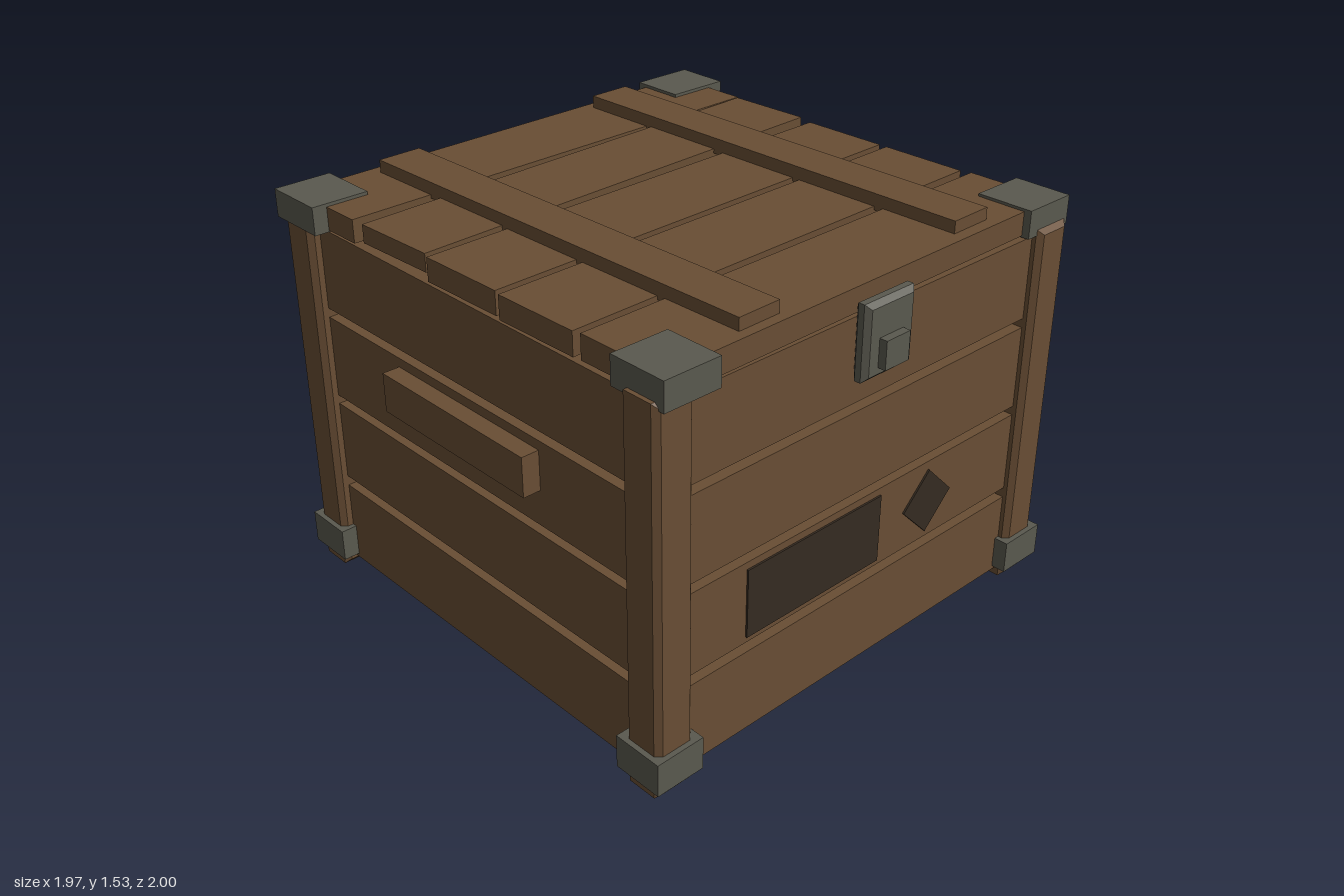
import * as THREE from 'three';

export function createModel() {
  const model = new THREE.Group();
  model.name = 'crate';
  const material = (name, color) => {
    const m = new THREE.MeshStandardMaterial({ color });
    m.name = name;
    return m;
  };
  const wood = material('wood', 0x694e34);
  const metal = material('metal', 0x5a594f);
  const dark = material('darkWood', 0x352b21);

  const add = (name, geometry, mat) => {
    const mesh = new THREE.Mesh(geometry, mat);
    mesh.name = name;
    model.add(mesh);
    return mesh;
  };
  // Box given by its limits on each axis
  const box = (name, mat, x0, x1, y0, y1, z0, z1) => {
    const mesh = add(name, new THREE.BoxGeometry(x1 - x0, y1 - y0, z1 - z0), mat);
    mesh.position.set((x0 + x1) / 2, (y0 + y1) / 2, (z0 + z1) / 2);
    return mesh;
  };
  // Box with chamfered edges, centred on its origin
  const chamferBox = (w, h, d, b) => {
    const x = w / 2 - b, y = h / 2 - b;
    const shape = new THREE.Shape([[-x, -y], [x, -y], [x, y], [-x, y]].map(p => new THREE.Vector2(...p)));
    const geometry = new THREE.ExtrudeGeometry(shape, {
      depth: d - 2 * b, bevelEnabled: true, bevelSegments: 1, bevelSize: b, bevelThickness: b,
    });
    return geometry.translate(0, 0, b - d / 2);
  };

  // Dark inner box, showing through the gaps
  const liner = box('innerBox', dark, -0.855, 0.855, 0.04, 1.385, -0.875, 0.84);
  liner.name = 'innerBox';

  // Four wall planks on each side
  for (const [y0, y1] of [[0.03, 0.345], [0.385, 0.695], [0.73, 1.045], [1.08, 1.39]]) {
    box('frontPlank', wood, -0.87, 0.87, y0, y1, 0.85, 0.905);
    box('backPlank', wood, -0.87, 0.87, y0, y1, -0.94, -0.885);
    for (const s of [-1, 1]) {
      const a = s * 0.865, b = s * 0.918;
      box('sidePlank', wood, Math.min(a, b), Math.max(a, b), y0, y1, -0.89, 0.855);
    }
  }

  // Corner posts with metal feet
  for (const x of [-0.883, 0.88]) {
    for (const z of [-0.898, 0.863]) {
      add('cornerPost', chamferBox(0.155, 1.42, 0.155, 0.02), wood).position.set(x, 0.71, z);
      box('bottomCornerCap', metal, x - 0.097, x + 0.097, 0.045, 0.17, z - 0.097, z + 0.097);
    }
  }

  // Lid planks, laid a little crooked: x0, x1, centre z, depth, bottom y, top y, yaw
  const lidPlanks = [
    [-0.925, 0.905, -0.775, 0.345, 1.402, 1.488, 0.012],
    [-0.92, 0.9, -0.397, 0.335, 1.425, 1.492, 0.04],
    [-0.917, 0.9, -0.02, 0.345, 1.402, 1.488, 0.02],
    [-0.92, 0.907, 0.352, 0.34, 1.402, 1.488, 0.018],
    [-0.91, 0.92, 0.73, 0.345, 1.402, 1.49, 0.012],
  ];
  for (const [x0, x1, z, d, y0, y1, yaw] of lidPlanks) {
    box('lidPlank', wood, x0, x1, y0, y1, z - d / 2, z + d / 2).rotation.y = yaw;
  }

  // Two battens across the lid
  for (const [x, z] of [[-0.505, -0.012], [0.505, -0.032]]) {
    box('lidBatten', wood, x - 0.086, x + 0.086, 1.475, 1.535, z - 0.882, z + 0.882).rotation.y = 0.02;
  }

  // Metal caps on the lid corners
  for (const [x0, x1, z0, z1] of [
    [-0.98, -0.76, -0.985, -0.745], [0.72, 0.972, -0.995, -0.78],
    [-0.945, -0.725, 0.735, 0.957], [0.757, 0.973, 0.702, 0.922],
  ]) box('topCornerCap', metal, x0, x1, 1.397, 1.5, z0, z1);

  // Side handles
  box('leftHandle', wood, 0.915, 0.985, 0.863, 1.01, -0.395, 0.355);
  box('rightHandle', wood, -0.985, -0.915, 0.863, 1.01, -0.395, 0.355);

  // Latch with its catch
  add('latchPlate', chamferBox(0.23, 0.27, 0.06, 0.018), metal).position.set(-0.002, 1.317, 0.94);
  box('latchCatch', metal, -0.057, 0.054, 1.223, 1.326, 0.95, 1.0);

  // Painted markings on the front
  box('frontPanelMark', dark, -0.55, 0.08, 0.408, 0.668, 0.904, 0.912);
  const diamond = add('diamondMark', new THREE.BoxGeometry(0.177, 0.177, 0.008), dark);
  diamond.position.set(0.333, 0.537, 0.908);
  diamond.rotation.z = Math.PI / 4;

  return model;
}
